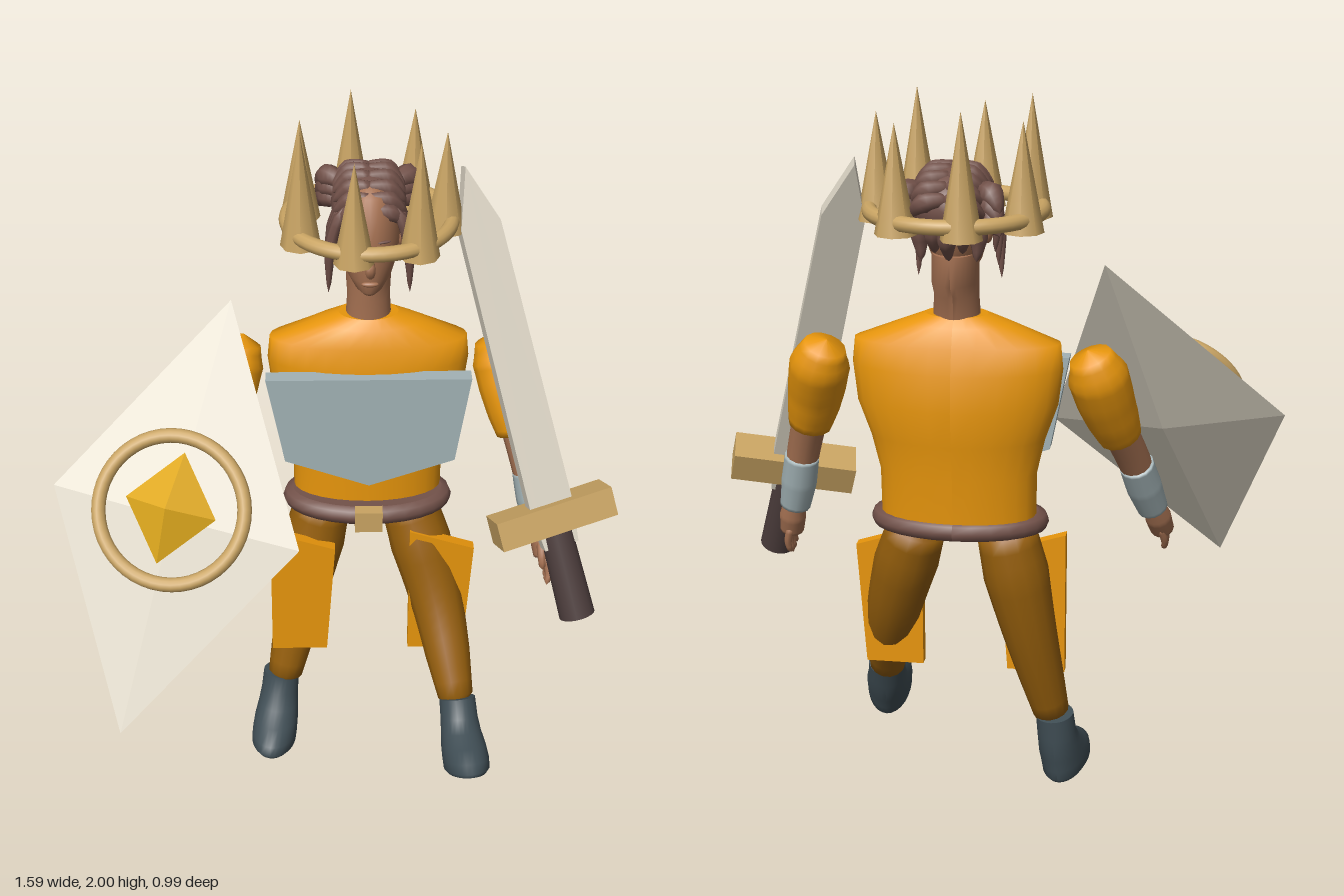
import * as THREE from 'three';
import { mergeVertices } from 'three/addons/utils/BufferGeometryUtils.js';

const CX = 0.087; // body midline
const V = (a) => new THREE.Vector3(...a);

export function createModel() {
  const model = new THREE.Group();
  model.name = 'crownedKnight';
  const mat = (name, color) => {
    const m = new THREE.MeshStandardMaterial({ color });
    m.name = name;
    return m;
  };
  const tunic = mat('orange cloth', 0xe8960c), trousers = mat('ochre cloth', 0x965f0c);
  const tan = mat('tan gold', 0xc9a463), brown = mat('brown', 0x73524a);
  const leather = mat('slate leather', 0x404e55), steel = mat('blue steel', 0xa2b2b5);
  const skin = mat('skin', 0xa57152), grip = mat('dark grip', 0x4c3d3c);
  const pale = mat('pale metal', 0xdbd4c4), gold = mat('gem gold', 0xdfa91e);

  const add = (name, geo, material, pos = [0, 0, 0], parent = model) => {
    const mesh = new THREE.Mesh(geo, material);
    mesh.name = name;
    mesh.position.set(...pos);
    parent.add(mesh);
    return mesh;
  };
  const group = (name, pos = [0, 0, 0]) => {
    const g = new THREE.Group();
    g.name = name;
    g.position.set(...pos);
    model.add(g);
    return g;
  };
  // Point a group's local x and y axes along two directions
  const orient = (g, x, y) => {
    const X = V(x).normalize(), Y = V(y).normalize();
    const Z = X.clone().cross(Y).normalize();
    Y.copy(Z).cross(X);
    g.quaternion.setFromRotationMatrix(new THREE.Matrix4().makeBasis(X, Y, Z));
  };
  // Closed tapered tube along a path; radii are spaced evenly along it
  const limb = (points, radii, seg = 16, sides = 14) => {
    const curve = new THREE.CatmullRomCurve3(points.map(V));
    const geo = new THREE.TubeGeometry(curve, seg, 1, sides);
    const p = geo.attributes.position, v = new THREE.Vector3();
    for (let i = 0; i < p.count; i++) {
      const ring = Math.floor(i / (sides + 1)), c = curve.getPointAt(ring / seg);
      const f = (ring / seg) * (radii.length - 1), k = Math.min(Math.floor(f), radii.length - 2);
      const r = ring === 0 || ring === seg ? 0.0005 : THREE.MathUtils.lerp(radii[k], radii[k + 1], f - k);
      v.fromBufferAttribute(p, i).sub(c).multiplyScalar(r).add(c);
      p.setXYZ(i, v.x, v.y, v.z);
    }
    geo.deleteAttribute('uv');
    geo.deleteAttribute('normal');
    const out = mergeVertices(geo, 1e-5);
    out.computeVertexNormals();
    return out;
  };
  // Capped stack of ellipses, rows from top to bottom: [y, rx, rz, zCentre]
  const stack = (rows) => {
    const geo = new THREE.CylinderGeometry(1, 1, 1, 28, rows.length - 1, false, Math.PI);
    const p = geo.attributes.position, n = geo.attributes.normal, v = new THREE.Vector3();
    for (let i = 0; i < p.count; i++) {
      const [y, rx, rz, zc] = rows[Math.round((0.5 - p.getY(i)) * (rows.length - 1))];
      p.setXYZ(i, p.getX(i) * rx, y, p.getZ(i) * rz + zc);
    }
    geo.computeVertexNormals();
    // Keep the shading continuous across the seam on the midline
    for (let i = 0; i < p.count; i++) {
      if (Math.abs(p.getX(i)) > 1e-6) continue;
      v.fromBufferAttribute(n, i).setX(0).normalize();
      n.setXYZ(i, v.x, v.y, v.z);
    }
    return geo;
  };
  const plate = (pts, depth) => new THREE.ExtrudeGeometry(
    new THREE.Shape(pts.map(([x, y]) => new THREE.Vector2(x, y))), { depth, bevelEnabled: false });
  const ball = (rx, ry, rz) => new THREE.SphereGeometry(1, 20, 14).scale(rx, ry, rz);

  // Torso, belt and armour plates
  add('tunic', stack([[1.425, 0.085, 0.06, -0.232], [1.40, 0.15, 0.083, -0.232], [1.35, 0.28, 0.103, -0.232],
    [1.28, 0.287, 0.118, -0.235], [1.18, 0.275, 0.126, -0.238], [1.08, 0.24, 0.12, -0.233],
    [0.98, 0.217, 0.112, -0.228], [0.82, 0.215, 0.108, -0.225]]), tunic, [CX, 0, 0]);
  add('belt', stack([[0.858, 0.22, 0.12, -0.205], [0.85, 0.24, 0.14, -0.205], [0.83, 0.248, 0.147, -0.205],
    [0.81, 0.24, 0.14, -0.205], [0.802, 0.22, 0.12, -0.205]]), brown, [CX, 0, 0]);
  add('buckle', new THREE.BoxGeometry(0.08, 0.065, 0.04), tan, [CX, 0.832, -0.06]);
  add('chestPlate', plate([[-0.205, 1.28], [-0.153, 1.015], [0.088, 0.93], [0.333, 1.015], [0.375, 1.28]], 0.05),
    steel, [0, 0, -0.137]);
  for (const [name, x] of [['rightThighPlate', -0.2], ['leftThighPlate', 0.21]]) {
    add(name, plate([[0, 0.34], [0.165, 0.34], [0.19, 0.7], [0, 0.76]], 0.035), tunic, [x, 0, -0.132]);
  }

  // Legs and boots
  add('rightLeg', limb([[-0.035, 0.84, -0.215], [-0.065, 0.7, -0.212], [-0.105, 0.5, -0.192], [-0.172, 0.18, -0.13]],
    [0.08, 0.092, 0.078, 0.064, 0.048]), trousers);
  add('leftLeg', limb([[0.195, 0.84, -0.215], [0.24, 0.7, -0.18], [0.297, 0.5, -0.11], [0.358, 0.22, 0.06]],
    [0.08, 0.092, 0.08, 0.068, 0.048]), trousers);
  const bootGeo = stack([[0.21, 0.054, 0.054, 0], [0.15, 0.056, 0.058, 0], [0.11, 0.06, 0.075, 0.014],
    [0.075, 0.066, 0.1, 0.042], [0.04, 0.068, 0.122, 0.066], [0.012, 0.067, 0.125, 0.07], [0, 0.058, 0.115, 0.068]]);
  add('rightBoot', bootGeo, leather, [-0.195, 0.01, -0.122]).rotation.set(-0.14, -0.1, -0.08, 'YXZ');
  add('leftBoot', bootGeo, leather, [0.373, 0.073, 0.147]).rotation.set(-0.5, 0.08, 0.05, 'YXZ');

  // Arms, mirrored about the body midline; the right one reaches further forward
  for (const s of [1, -1]) {
    const side = s > 0 ? 'left' : 'right', reach = s > 0 ? 0 : 1;
    const m = (pts) => pts.map(([x, y, z]) => {
      const k = reach * Math.max(0, 1.12 - y);
      return [CX + s * (x + 0.06 * k - CX), y + 0.03 * k, z + 0.3 * k];
    });
    add(side + 'Sleeve', limb(m([[0.44, 1.34, -0.255], [0.465, 1.27, -0.235], [0.49, 1.17, -0.19], [0.522, 1.05, -0.15]]),
      [0.05, 0.083, 0.08, 0.072, 0.058]), tunic);
    add(side + 'Forearm', limb(m([[0.51, 1.11, -0.165], [0.545, 0.98, -0.125], [0.59, 0.78, -0.08]]),
      [0.05, 0.046, 0.035]), skin);
    add(side + 'Bracer', limb(m([[0.551, 0.965, -0.122], [0.567, 0.88, -0.103], [0.588, 0.785, -0.082]]),
      [0.049, 0.051, 0.043], 20), steel);
    add(side + 'Palm', limb(m([[0.587, 0.81, -0.085], [0.597, 0.76, -0.07], [0.607, 0.7, -0.05]]),
      [0.028, 0.038, 0.034]), skin);
    for (let i = 0; i < 4; i++) {
      const z = (i - 1.5) * 0.02;
      add(side + 'Finger' + i, limb(m([[0.602, 0.725, -0.055 + z], [0.613, 0.67, -0.042 + z * 1.2],
        [0.607, 0.625 + Math.abs(i - 1.4) * 0.01, -0.03 + z * 1.3]]), [0.012, 0.011, 0.008], 8, 8), skin);
    }
    add(side + 'Thumb', limb(m([[0.59, 0.765, -0.05], [0.592, 0.72, -0.015], [0.595, 0.685, -0.005]]),
      [0.014, 0.013, 0.009], 8, 8), skin);
  }

  // Head and face
  const head = group('head', [CX, 0, 0]);
  add('neck', stack([[1.6, 0.062, 0.09, -0.255], [1.52, 0.063, 0.092, -0.255], [1.48, 0.06, 0.066, -0.238],
    [1.38, 0.066, 0.06, -0.232]]), skin, [0, 0, 0], head);
  add('skull', stack([[1.82, 0.03, 0.04, -0.25], [1.8, 0.06, 0.095, -0.245], [1.75, 0.08, 0.125, -0.24],
    [1.68, 0.086, 0.125, -0.232], [1.62, 0.08, 0.115, -0.222], [1.57, 0.064, 0.1, -0.212],
    [1.535, 0.042, 0.08, -0.198], [1.52, 0.025, 0.05, -0.185]]), skin, [0, 0, 0], head);
  add('nose', limb([[0, 1.69, -0.113], [0, 1.645, -0.1], [0, 1.61, -0.088], [0, 1.602, -0.112]],
    [0.006, 0.009, 0.014, 0.011], 10, 10), skin, [0, 0, 0], head);
  add('lips', ball(0.024, 0.008, 0.01), skin, [0, 1.565, -0.116], head);
  for (const s of [-1, 1]) {
    add('eye', ball(0.014, 0.005, 0.005), grip, [s * 0.036, 1.668, -0.121], head).rotation.y = s * 0.35;
    add('brow', ball(0.02, 0.004, 0.005), brown, [s * 0.038, 1.69, -0.12], head).rotation.y = s * 0.35;
    add('ear', ball(0.014, 0.035, 0.024), skin, [s * 0.086, 1.655, -0.245], head);
  }

  // Hair: cap, overlapping bands, side tufts and loose strands
  const hair = group('hair', [CX, 0, -0.015]);
  add('hairCap', ball(0.105, 0.1, 0.14), brown, [0, 1.735, -0.272], hair);
  for (let i = 0; i < 8; i++) {
    const a = 0.3 + i * 0.36, y = 1.735 + 0.084 * Math.sin(a), z = -0.262 + 0.13 * Math.cos(a);
    for (const s of [-1, 1]) {
      add('hairBand', limb([[-s * 0.01, y + 0.006, z], [s * 0.055, y - 0.004, z - 0.012], [s * 0.1, y - 0.045, z * 0.8 - 0.055]],
        [0.016, 0.026, 0.008], 10, 8), brown, [0, 0, 0], hair);
    }
  }
  for (const s of [-1, 1]) {
    for (let i = 0; i < 3; i++) {
      add('sideTuft', limb([[s * 0.07, 1.775 - i * 0.03, -0.31], [s * 0.115, 1.775 - i * 0.03, -0.355],
        [s * 0.14, 1.735 - i * 0.03, -0.385]], [0.02, 0.034, 0.01], 10, 8), brown, [0, 0, 0], hair);
      add('templeStrand', limb([[s * 0.075, 1.77, -0.15 - i * 0.03], [s * 0.105, 1.67, -0.15 - i * 0.03],
        [s * (0.113 - i * 0.006), 1.51 + i * 0.04, -0.165 - i * 0.02]], [0.016, 0.017, 0.004], 10, 7), brown, [0, 0, 0], hair);
    }
  }
  for (let i = -2; i <= 2; i++) {
    add('napeLock', limb([[i * 0.035, 1.72, -0.38 + Math.abs(i) * 0.018], [i * 0.038, 1.66, -0.375 + Math.abs(i) * 0.02],
      [i * 0.036, 1.595 + (i & 1) * 0.02, -0.34]], [0.025, 0.026, 0.006], 10, 8), brown, [0, 0, 0], hair);
  }

  // Crown with seven spikes of alternating height
  const crown = group('crown', [CX, 0, -0.236]);
  add('crownRing', new THREE.TorusGeometry(0.228, 0.021, 12, 48).rotateX(Math.PI / 2), tan, [0, 1.708, 0], crown);
  for (let i = 0; i < 7; i++) {
    const a = (i / 7) * Math.PI * 2, h = i % 2 ? 0.328 : 0.288;
    add('crownSpike', new THREE.ConeGeometry(0.056, h, 8), tan,
      [0.21 * Math.cos(a), 1.672 + h / 2, 0.21 * Math.sin(a)], crown);
  }

  // Kite shield with ring and gem
  const shield = group('shield', [-0.453, 1.015, 0.2]);
  orient(shield, [0.675, -0.1, 0.19], [0.31, 1.03, -0.585]);
  add('shieldBody', new THREE.OctahedronGeometry(1).scale(0.356, 0.616, 0.048), pale, [0, 0, 0], shield);
  add('shieldRing', new THREE.TorusGeometry(0.202, 0.02, 12, 48), tan, [0.004, 0.025, 0.098], shield);
  add('shieldGem', new THREE.OctahedronGeometry(1).scale(0.128, 0.155, 0.07), gold, [0.002, 0.03, 0.1], shield);

  // Sword, its blade running down into the grip
  const sword = group('sword', [0.61, 0.885, 0.01]);
  orient(sword, [0.947, 0.178, -0.266], [-0.25, 0.924, -0.288]);
  add('swordBlade', plate([[-0.05, -0.09], [0.052, -0.09], [0.064, 0.04], [0.058, 0.865], [-0.002, 1.032],
    [-0.058, 0.865], [-0.064, 0.04]], 0.045), pale, [0, 0, -0.0225], sword);
  add('swordGuard', new THREE.BoxGeometry(0.35, 0.085, 0.11), tan, [0, 0, 0], sword);
  add('swordGrip', new THREE.CylinderGeometry(0.046, 0.052, 0.28, 20), grip, [0, -0.17, 0], sword);
  return model;
}
